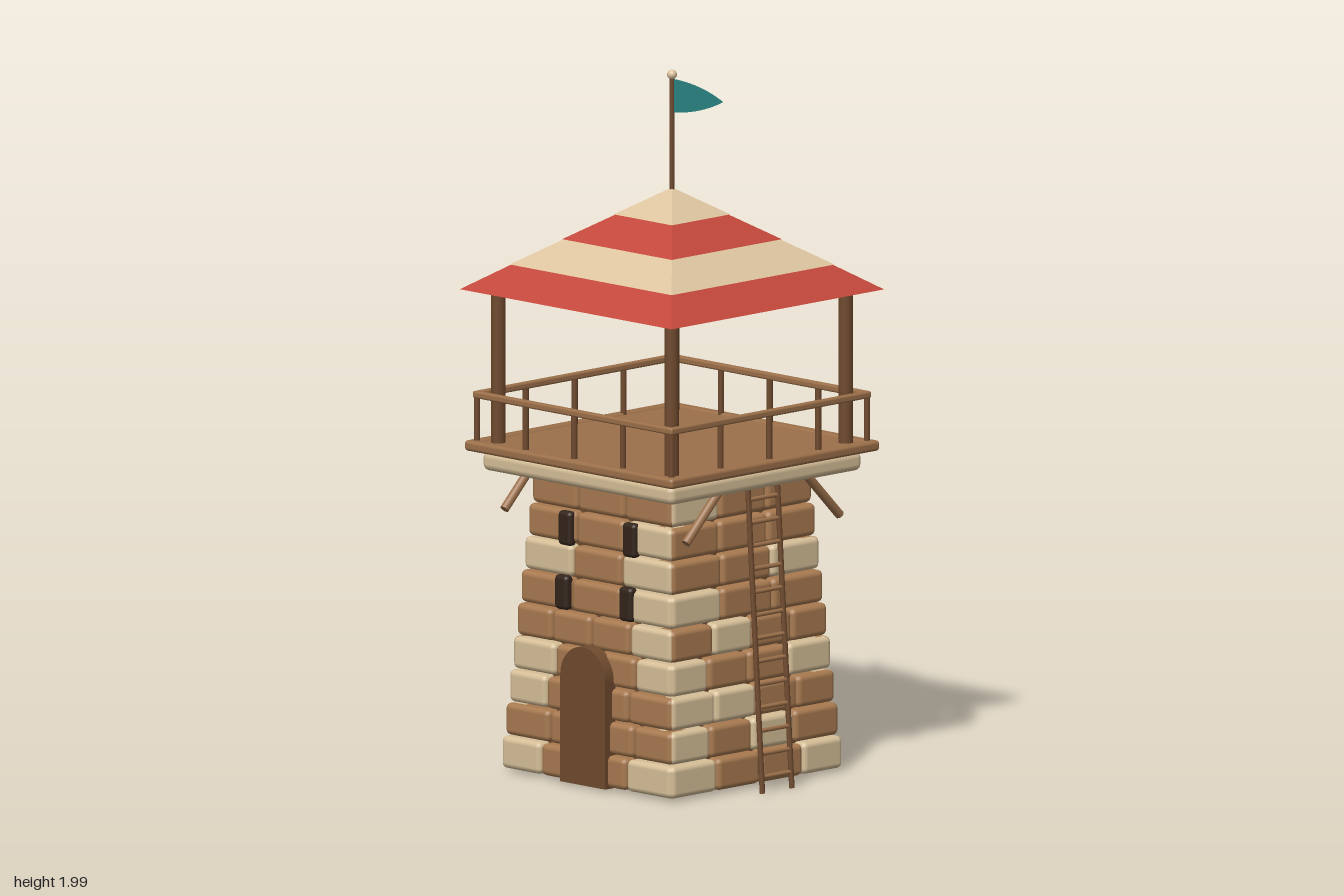
import * as THREE from 'three';
import { RoundedBoxGeometry } from 'three/addons/geometries/RoundedBoxGeometry.js';

const mat = (name, color, side = THREE.FrontSide) => {
  const m = new THREE.MeshStandardMaterial({ color, side });
  m.name = name;
  return m;
};

export function createModel() {
  const lightStone = mat('light stone', 0xd6bf98);
  const brownStone = mat('brown stone', 0xa87a50);
  const wood = mat('wood', 0x9c704a);
  const darkWood = mat('dark wood', 0x6f4a2e);
  const slitDark = mat('slit dark', 0x33241a);
  const red = mat('roof red', 0xc2473a);
  const cream = mat('roof cream', 0xdcc49e);
  const teal = mat('flag teal', 0x2a8583, THREE.DoubleSide);

  const model = new THREE.Group();
  model.name = 'watchtower';
  const tower = new THREE.Group();
  tower.name = 'tower';
  tower.position.x = -0.004;
  model.add(tower);

  const add = (name, geometry, material, x = 0, y = 0, z = 0, parent = tower) => {
    const mesh = new THREE.Mesh(geometry, material);
    mesh.name = name;
    mesh.position.set(x, y, z);
    parent.add(mesh);
    return mesh;
  };
  const box = (w, h, d, r) => new RoundedBoxGeometry(w, h, d, 2, r);
  // round bar between two points
  const rod = (name, a, b, r, material, parent = tower) => {
    const from = new THREE.Vector3(...a), to = new THREE.Vector3(...b);
    const dir = to.clone().sub(from);
    const mid = from.clone().add(to).multiplyScalar(0.5);
    const mesh = add(name, new THREE.CylinderGeometry(r, r, dir.length(), 12), material, mid.x, mid.y, mid.z, parent);
    mesh.quaternion.setFromUnitVectors(new THREE.Vector3(0, 1, 0), dir.normalize());
    return mesh;
  };
  // square frustum with flat sides, given half widths
  const frustum = (top, bottom, h) => {
    const g = new THREE.CylinderGeometry(top * Math.SQRT2, bottom * Math.SQRT2, h, 4).toNonIndexed();
    g.rotateY(Math.PI / 4);
    g.computeVertexNormals();
    return g;
  };

  // tapered core behind the stones
  add('core', frustum(0.25, 0.305, 0.85), darkWood, 0, 0.437, 0);

  // stone courses, bottom row first, each face read left to right from outside
  const pitch = 0.0945;
  const faces = {
    front: ['LBBL', 'BBBB', 'LBBB', 'LBBL', 'BBBL', 'BBL', 'LBL', 'BBL', 'BBB'],
    right: ['LBBL', 'LBLB', 'LLBB', 'LBBL', 'BLBB', 'LBB', 'BBL', 'BBB', 'LBB'],
    back: ['LBBB', 'BBBL', 'LBLB', 'BBLB', 'BLLB', 'LBB', 'BLB', 'BBL', 'BBL'],
    left: ['BLBL', 'LLBL', 'BLBL', 'LLBB', 'LBBB', 'LBB', 'BBL', 'BLB', 'LBB'],
  };
  Object.entries(faces).forEach(([side, rows], f) => {
    const wall = new THREE.Group();
    wall.name = side + 'Wall';
    wall.rotation.y = f * Math.PI / 2;
    tower.add(wall);
    rows.forEach((row, i) => {
      const half = 0.341 - i * 0.0075;
      const n = row.length;
      // joints shift from row to row, the ends stay at the corners
      const joint = (k) => -half + 0.003 + (2 * half - 0.006) * k / n
        + (k > 0 && k < n ? ((i + f) % 2 ? 0.012 : -0.012) * (n === 4 ? 1 : 0.2) : 0);
      for (let k = 0; k < n; k++) {
        const a = joint(k), b = joint(k + 1);
        add('stone', box(b - a - 0.003, 0.091, 0.09, 0.016), row[k] === 'L' ? lightStone : brownStone,
          (a + b) / 2, 0.013 + pitch * (i + 0.5), half - 0.045, wall);
      }
    });
  });

  // arched door
  const arch = new THREE.Shape();
  arch.moveTo(-0.089, 0.012);
  arch.lineTo(0.089, 0.012);
  arch.lineTo(0.089, 0.316);
  arch.absarc(0, 0.316, 0.089, 0, Math.PI, false);
  arch.closePath();
  add('door', new THREE.ExtrudeGeometry(arch, { depth: 0.04, bevelEnabled: false, curveSegments: 16 }), darkWood, 0, 0, 0.312);

  // window slits
  for (const x of [-0.127, 0.127]) {
    add('upperWindow', box(0.052, 0.098, 0.03, 0.012), slitDark, x, 0.718, 0.286);
    add('lowerWindow', box(0.052, 0.098, 0.03, 0.012), slitDark, x, 0.538, 0.3);
  }

  // stone ledge and deck
  add('ledge', box(0.756, 0.056, 0.756, 0.02), lightStone, 0, 0.888, 0);
  add('deck', new THREE.BoxGeometry(0.79, 0.026, 0.79), wood, 0, 0.927, 0);

  // deck edge beams, railing, balusters and posts, one side at a time
  for (let s = 0; s < 4; s++) {
    const edge = new THREE.Group();
    edge.name = 'deckSide';
    edge.rotation.y = s * Math.PI / 2;
    tower.add(edge);
    add('edgeBeam', box(0.822, 0.03, 0.036, 0.01), wood, 0, 0.931, 0.394, edge);
    add('handrail', box(0.79, 0.02, 0.02, 0.006), wood, 0, 1.076, 0.385, edge);
    for (let k = 0; k < 4; k++) {
      const x = -0.385 + k * 0.1925;
      rod('baluster', [x, 0.935, 0.385], [x, 1.07, 0.385], 0.009, darkWood, edge);
    }
    rod('roofPost', [0.343, 0.935, 0.343], [0.343, 1.385, 0.343], 0.021, darkWood, edge);
  }

  // braces under the deck
  for (const x of [-0.359, 0.359])
    for (const z of [-1, 1])
      rod('brace', [x, 0.742, z * 0.303], [x, 0.915, z * 0.13], 0.013, wood);

  // striped pyramid roof
  const bands = [0.419, 0.317, 0.213, 0.111, 0];
  const heightAt = (half) => 1.375 + (0.419 - half) * 0.692;
  for (let i = 0; i < 4; i++) {
    const y0 = heightAt(bands[i]), y1 = heightAt(bands[i + 1]);
    const lip = i ? 0.004 : 0;
    add('roofBand', frustum(bands[i + 1], bands[i] + lip, y1 - y0), i % 2 ? cream : red, 0, (y0 + y1) / 2, 0);
  }

  // flagpole, finial and pennant
  rod('flagpole', [0, 1.64, 0], [0, 1.98, 0], 0.007, darkWood);
  add('finial', new THREE.SphereGeometry(0.014, 16, 12), cream, 0, 1.986, 0);
  const pennant = new THREE.Shape();
  pennant.moveTo(0.004, 1.974);
  pennant.quadraticCurveTo(0.115, 1.974, 0.203, 1.935);
  pennant.quadraticCurveTo(0.115, 1.89, 0.004, 1.878);
  pennant.closePath();
  add('flag', new THREE.ShapeGeometry(pennant, 12), teal);

  // leaning ladder
  const ladder = new THREE.Group();
  ladder.name = 'ladder';
  tower.add(ladder);
  const bottom = [0.416, 0.006], top = [0.358, 0.872];
  for (const z of [-0.058, 0.058])
    rod('ladderRail', [bottom[0], bottom[1], z], [top[0], top[1], z], 0.008, darkWood, ladder);
  for (let k = 0; k < 13; k++) {
    const t = (k + 0.7) / 13.3;
    const x = bottom[0] + (top[0] - bottom[0]) * t, y = bottom[1] + (top[1] - bottom[1]) * t;
    rod('rung', [x, y, -0.058], [x, y, 0.058], 0.0065, wood, ladder);
  }

  return model;
}
